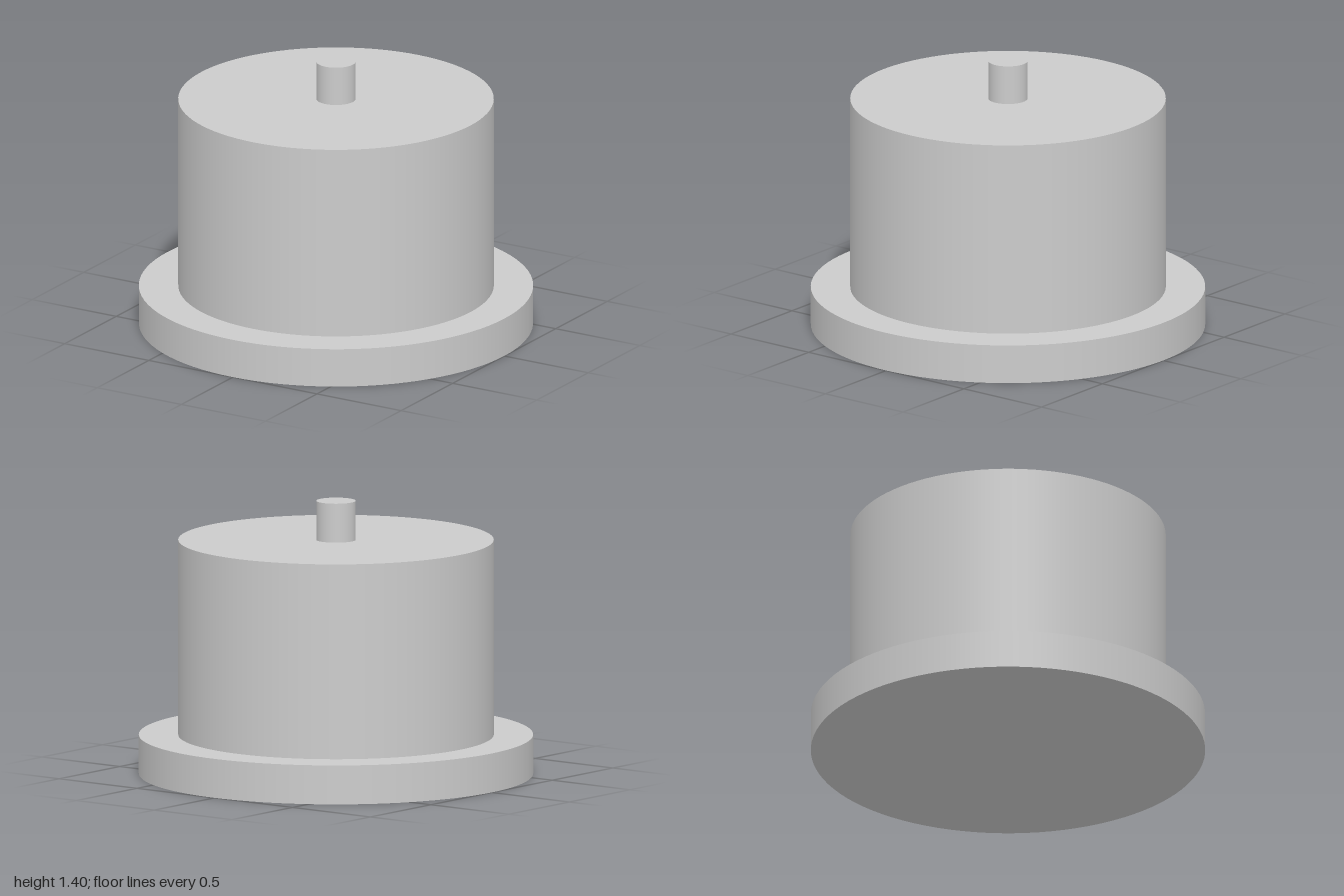
import * as THREE from 'three';

export function createModel() {
  const model = new THREE.Group();
  model.name = 'steppedCylinder';
  const material = new THREE.MeshStandardMaterial({ color: 0xcccccc });

  // Upright cylinder between two heights
  function addCylinder(name, radius, bottom, top) {
    const height = top - bottom;
    const geometry = new THREE.CylinderGeometry(radius, radius, height, 96);
    const mesh = new THREE.Mesh(geometry, material);
    mesh.name = name;
    mesh.position.y = bottom + height / 2;
    model.add(mesh);
  }

  addCylinder('baseFlange', 1, 0, 0.2);
  addCylinder('body', 0.8, 0.2, 1.2);
  addCylinder('topPin', 0.1, 1.2, 1.4);

  return model;
}
